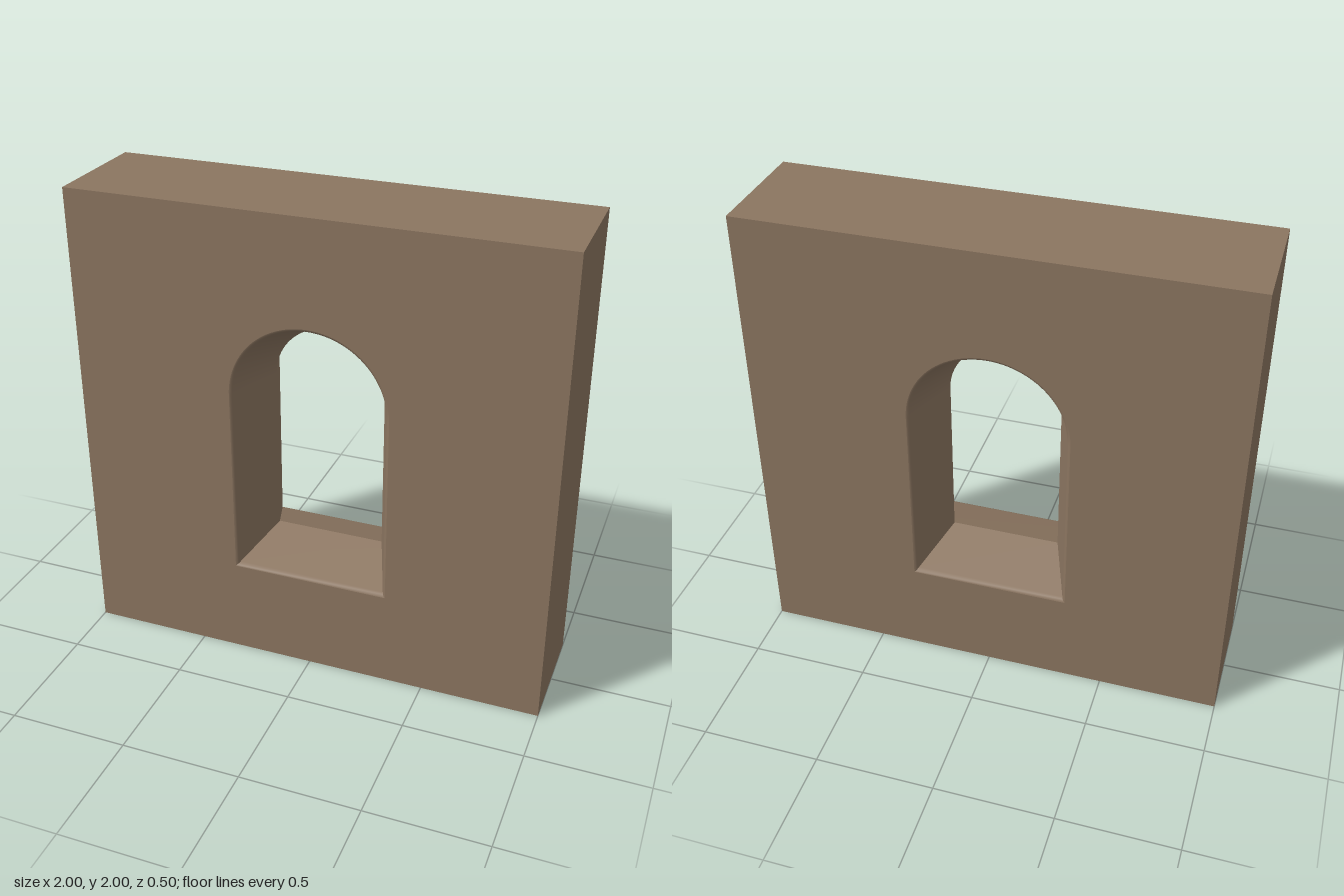
import * as THREE from 'three';

const WIDTH = 2, HEIGHT = 2, DEPTH = 0.5;
// Opening at the wall face: half width, sill height and arch centre height
const HALF = 0.333, SILL = 0.417, SPRING = 1.227;
// Splay profile, from the softened outer edge to the waist: [inset, z]
const PROFILE = [[0, 0.25], [0.006, 0.248], [0.011, 0.242], [0.015, 0.232], [0.1, 0]];
const ARC_STEPS = 48;

// Jambs and arch, from the left foot over the top to the right foot
function archPath(inset) {
  const r = HALF - inset;
  const points = [[-r, SILL + inset]];
  for (let i = 0; i <= ARC_STEPS; i++) {
    const a = Math.PI * (1 - i / ARC_STEPS);
    points.push([r * Math.cos(a), SPRING + r * Math.sin(a)]);
  }
  points.push([r, SILL + inset]);
  return points;
}

function sillPath(inset) {
  const r = HALF - inset;
  return [[r, SILL + inset], [-r, SILL + inset]];
}

// Surface swept through the splay profile along a path
function splay(path) {
  const positions = [], index = [];
  const n = path(0).length;
  PROFILE.forEach(([inset, z], j) => {
    path(inset).forEach(([x, y], i) => {
      positions.push(x, y, z);
      if (j < PROFILE.length - 1 && i < n - 1) {
        const a = j * n + i, b = a + 1, c = a + n, d = c + 1;
        index.push(a, c, b, b, c, d);
      }
    });
  });
  const geometry = new THREE.BufferGeometry();
  geometry.setAttribute('position', new THREE.Float32BufferAttribute(positions, 3));
  geometry.setIndex(index);
  geometry.computeVertexNormals();
  return geometry;
}

function wallFace() {
  const shape = new THREE.Shape([
    [-WIDTH / 2, 0], [WIDTH / 2, 0], [WIDTH / 2, HEIGHT], [-WIDTH / 2, HEIGHT],
  ].map(([x, y]) => new THREE.Vector2(x, y)));
  shape.holes.push(new THREE.Path(archPath(0).map(([x, y]) => new THREE.Vector2(x, y))));
  return new THREE.ShapeGeometry(shape).translate(0, 0, DEPTH / 2);
}

export function createModel() {
  const model = new THREE.Group();
  model.name = 'wallWithArchedWindow';
  const stone = new THREE.MeshStandardMaterial({ color: 0x8b7560 });
  stone.name = 'brownStone';

  const add = (parent, name, geometry) => {
    const mesh = new THREE.Mesh(geometry, stone);
    mesh.name = name;
    parent.add(mesh);
  };

  // Ends, top and underside: a box without its front and back
  const box = new THREE.BoxGeometry(WIDTH, HEIGHT, DEPTH).translate(0, HEIGHT / 2, 0);
  box.setIndex(Array.from(box.index.array.slice(0, 24)));
  box.clearGroups();
  add(model, 'wallEdges', box);

  // Front and back halves, each splaying in to the waist
  const face = wallFace(), arch = splay(archPath), sill = splay(sillPath);
  for (const side of ['front', 'back']) {
    const half = new THREE.Group();
    half.name = side + 'Half';
    add(half, side + 'Face', face);
    add(half, side + 'JambsAndArch', arch);
    add(half, side + 'Sill', sill);
    if (side === 'back') half.rotation.y = Math.PI;
    model.add(half);
  }
  return model;
}
